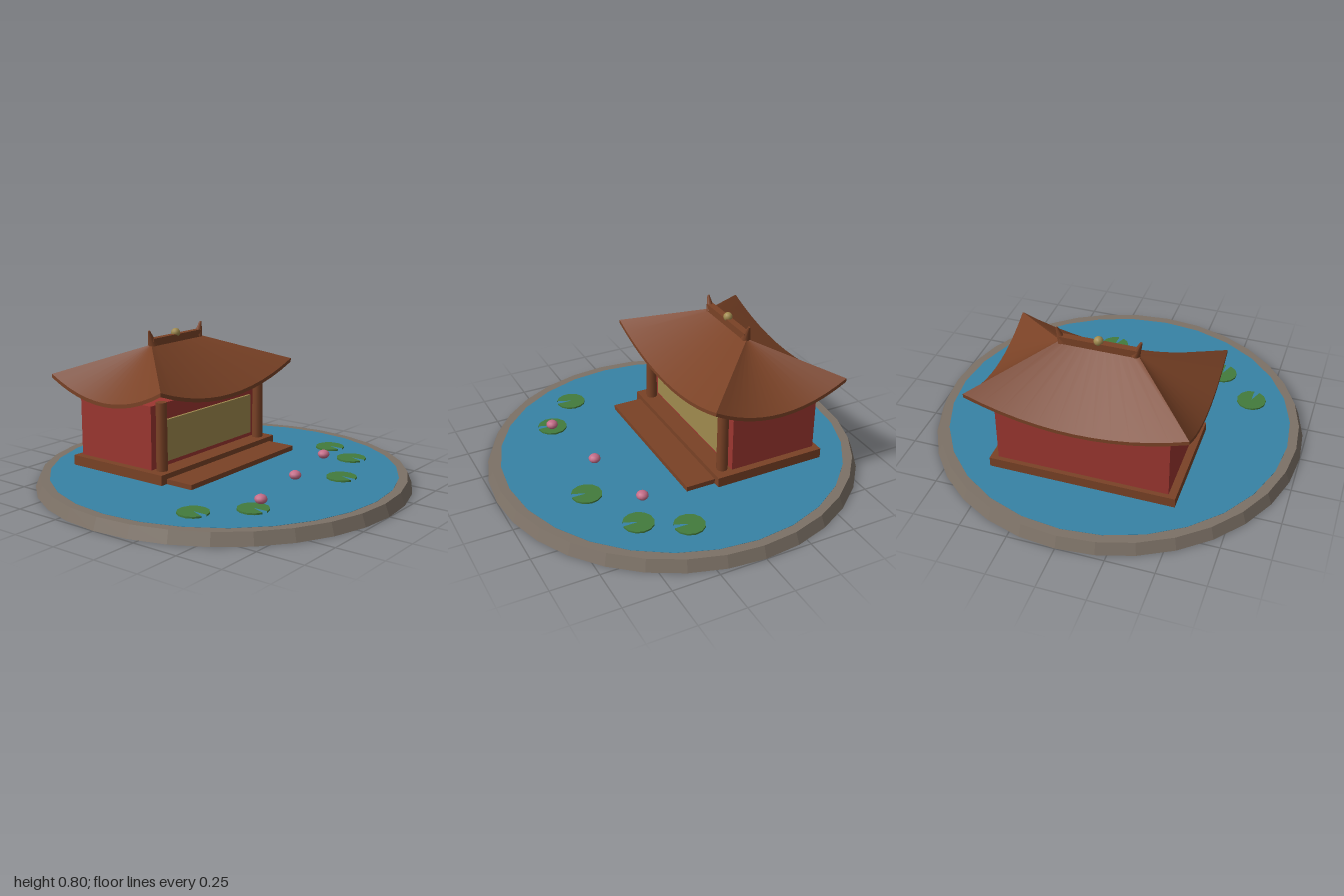
import * as THREE from 'three';

const mat = (name, color, extra = {}) => {
  const m = new THREE.MeshStandardMaterial({ color, ...extra });
  m.name = name;
  return m;
};

// Faceted copy with one normal per face
const faceted = (geo) => {
  const g = geo.toNonIndexed();
  g.computeVertexNormals();
  return g;
};

// One curved roof slope facing +z: top skin, eave edge and underside
function roofSlope(halfWidth, depth, ridgeHalf, ridgeDepth) {
  const ridgeY = 0.725, eaveY = 0.475, lift = 0.105, thick = 0.02, n = 12;
  const section = (t) => {
    const y = eaveY + lift * t * t;
    return [
      [t * ridgeHalf, ridgeY, ridgeDepth],
      [t * halfWidth, y, depth],
      [t * halfWidth, y - thick, depth],
      [t * ridgeHalf, ridgeY - thick, ridgeDepth],
    ];
  };
  const pos = [], index = [];
  for (let strip = 0; strip < 3; strip++) {
    const base = pos.length / 3;
    for (let i = 0; i <= n; i++) {
      const s = section((2 * i) / n - 1);
      pos.push(...s[strip], ...s[strip + 1]);
    }
    for (let i = 0; i < n; i++) {
      const a = base + 2 * i;
      index.push(a, a + 1, a + 3, a, a + 3, a + 2);
    }
  }
  const g = new THREE.BufferGeometry();
  g.setAttribute('position', new THREE.Float32BufferAttribute(pos, 3));
  g.setIndex(index);
  g.computeVertexNormals();
  return g;
}

export function createModel() {
  const model = new THREE.Group();
  model.name = 'pondPavilion';

  const wood = mat('brown wood', 0x7a4226);
  const red = mat('red wall', 0x9c3630);
  const gold = mat('dull gold', 0xa08a4e);
  const stone = mat('grey stone', 0x7c7166);
  const water = mat('blue water', 0x3782a5);
  const leaf = mat('leaf green', 0x437b3c, { side: THREE.DoubleSide });
  const pink = mat('lotus pink', 0xc46c88);

  const add = (name, geo, material, x = 0, y = 0, z = 0, parent = model) => {
    const m = new THREE.Mesh(geo, material);
    m.name = name;
    m.position.set(x, y, z);
    parent.add(m);
    return m;
  };
  const box = (w, h, d) => new THREE.BoxGeometry(w, h, d);

  // Stone basin with a raised rim, and the water inside it
  const rim = [[0, 0], [1, 0], [0.975, 0.062], [0.915, 0.062], [0.915, 0.05]]
    .map(([x, y]) => new THREE.Vector2(x, y));
  add('basin', faceted(new THREE.LatheGeometry(rim, 32)), stone);
  add('water', new THREE.CylinderGeometry(0.927, 0.927, 0.014, 28), water, 0, 0.056, 0);

  // Lily pads with a wedge cut out
  const padGeo = new THREE.CylinderGeometry(0.08, 0.08, 0.01, 12, 1, false, 0, 5.9);
  [[-0.665, 0.325], [-0.455, 0.52], [0.225, 0.595], [0.555, 0.46], [0.68, 0.245]]
    .forEach(([x, z]) => add('lilyPad', padGeo, leaf, x, 0.067, z));

  // Lotus buds
  const budGeo = new THREE.SphereGeometry(0.032, 12, 8);
  budGeo.scale(1, 0.75, 1);
  [[-0.415, 0.535], [0, 0.455], [0.41, 0.37]]
    .forEach(([x, z]) => add('lotusBud', budGeo, pink, x, 0.108, z));

  // Platform and front step
  add('platform', box(0.98, 0.053, 0.615), wood, 0, 0.1075, -0.3275);
  add('frontStep', box(0.9, 0.026, 0.17), wood, 0, 0.094, 0.055);

  // Walls and front screen
  add('walls', box(0.9, 0.335, 0.49), red, 0, 0.3, -0.365);
  add('frontScreen', box(0.77, 0.22, 0.015), gold, 0, 0.27, -0.1135);

  // Front posts
  for (const side of [-1, 1]) {
    add('frontPost', new THREE.CylinderGeometry(0.028, 0.03, 0.36, 10), wood, side * 0.415, 0.31, -0.08);
  }

  // Hipped roof of four slopes with upturned corners
  const roof = new THREE.Group();
  roof.name = 'roof';
  roof.position.z = -0.33;
  model.add(roof);
  const longSlope = roofSlope(0.562, 0.375, 0.2, 0);
  const endSlope = roofSlope(0.375, 0.562, 0, 0.2);
  [longSlope, endSlope, longSlope, endSlope].forEach((geo, i) => {
    add('roofSlope', geo, wood, 0, 0, 0, roof).rotation.y = (i * Math.PI) / 2;
  });

  // Ridge beam, end horns and finial
  add('ridgeBeam', box(0.4, 0.04, 0.036), wood, 0, 0.737, 0, roof);
  for (const side of [-1, 1]) {
    const horn = add('ridgeHorn', new THREE.CylinderGeometry(0.006, 0.025, 0.085, 8), wood, side * 0.202, 0.759, 0, roof);
    horn.rotation.z = -side * 0.35;
  }
  add('finial', new THREE.SphereGeometry(0.025, 12, 8), gold, 0, 0.763, 0, roof);

  return model;
}
